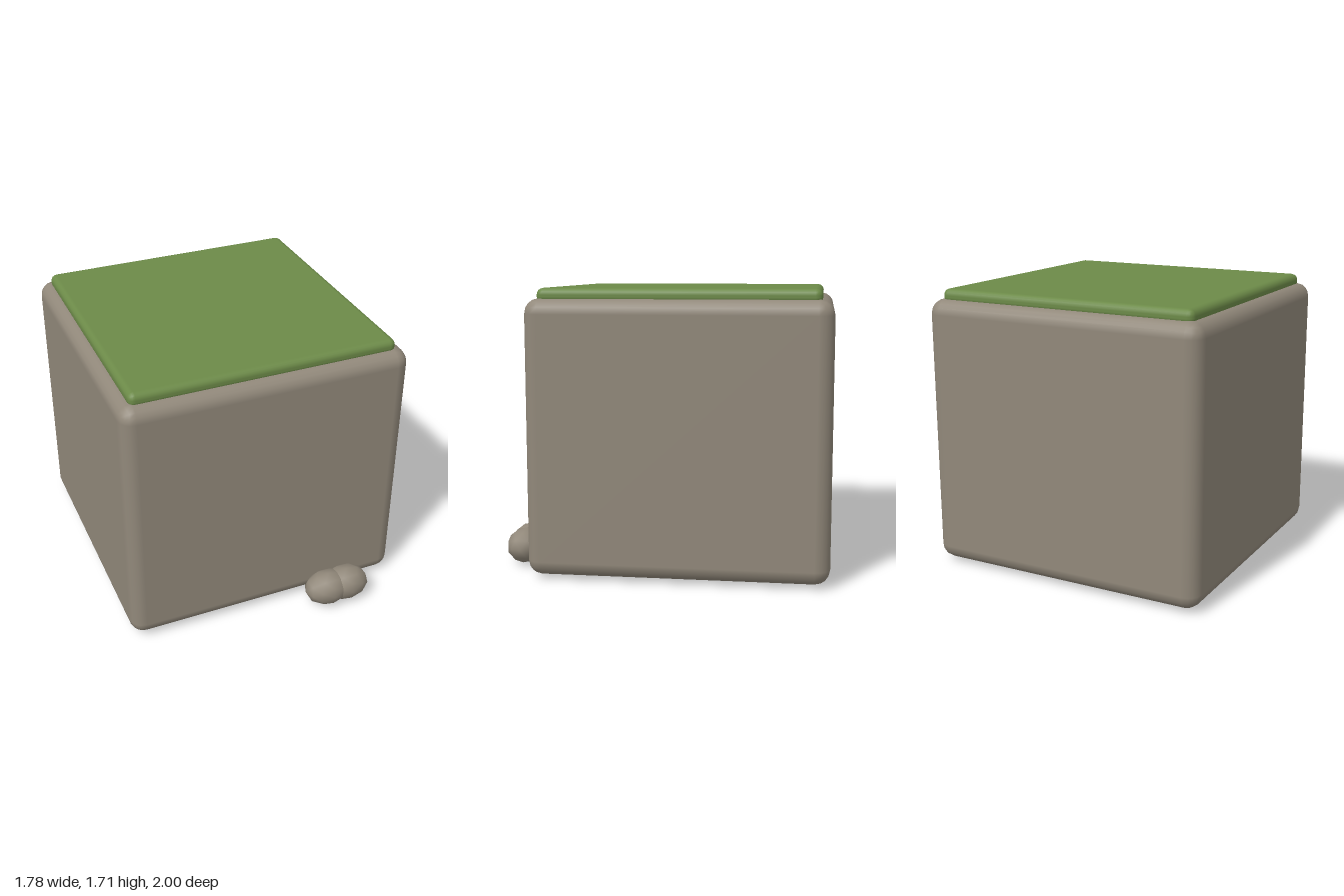
import * as THREE from 'three';
import { RoundedBoxGeometry } from 'three/addons/geometries/RoundedBoxGeometry.js';

export function createModel() {
  const stone = new THREE.MeshStandardMaterial({ color: 0x91887a });
  stone.name = 'stone';
  const grass = new THREE.MeshStandardMaterial({ color: 0x6c8a48 });
  grass.name = 'grass';

  const model = new THREE.Group();
  model.name = 'grassToppedBlock';
  const add = (name, geometry, material, x, y, z) => {
    const mesh = new THREE.Mesh(geometry, material);
    mesh.name = name;
    mesh.position.set(x, y, z);
    model.add(mesh);
    return mesh;
  };

  // Large block with softened edges, set back from the pebbles
  add('block', new RoundedBoxGeometry(1.78, 1.635, 1.78, 2, 0.09), stone, 0, 0.8375, -0.11);

  // Thin turf slab sunk slightly into the top
  add('turf', new RoundedBoxGeometry(1.64, 0.09, 1.64, 2, 0.04), grass, 0, 1.668, -0.11);

  // Two merged pebbles at the foot of the front face
  const pebble = new THREE.IcosahedronGeometry(1, 1);
  for (const [name, x] of [['rightPebble', 0.373], ['leftPebble', 0.5]]) {
    add(name, pebble, stone, x, 0.109, 0.884).scale.set(0.152, 0.109, 0.116);
  }
  return model;
}
